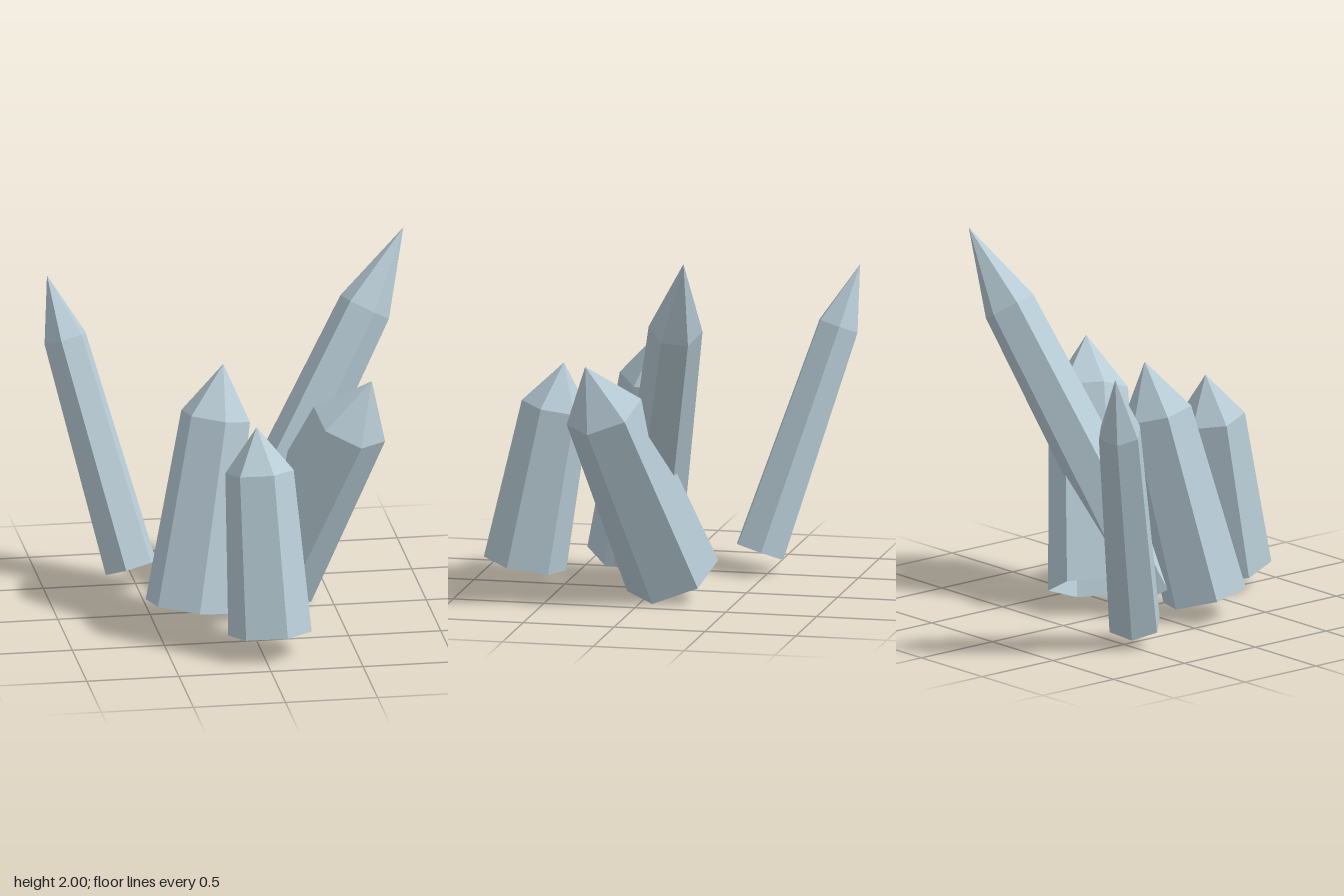
import * as THREE from 'three';

// Each crystal: centre of its base, its tip, base radius, and the direction from the base centre to one corner
const CRYSTALS = [
  { name: 'frontCrystal', base: [0.04, 0.115, 0.71], tip: [0, 1.22, 0.505], radius: 0.225, corner: [0.22, 0.02, 0.05] },
  { name: 'backRightCrystal', base: [-0.533, 0.115, -0.452], tip: [-0.915, 1.635, -0.915], radius: 0.148, corner: [0.143, 0.024, -0.038] },
  { name: 'tallCrystal', base: [-0.115, 0.1, 0.075], tip: [0.934, 2, -0.367], radius: 0.177, corner: [0.035, 0.02, 0.135] },
  { name: 'leftCrystal', base: [0.16, 0.115, -0.13], tip: [0.667, 1.35, 0.235], radius: 0.26, corner: [0.226, -0.11, 0.06] },
  { name: 'rightCrystal', base: [-0.33, 0.115, 0.216], tip: [-0.1, 1.405, -0.01], radius: 0.233, corner: [-0.18, 0.057, 0.134] },
];

export function createModel() {
  const group = new THREE.Group();
  group.name = 'crystalCluster';

  const paleBlue = new THREE.MeshStandardMaterial({ color: 0xb8ccd6, flatShading: true, side: THREE.DoubleSide });
  paleBlue.name = 'pale blue crystal';

  // Unit crystal: six-sided tapering shaft, open at the base, with a pyramid point
  const unit = new THREE.LatheGeometry(
    [new THREE.Vector2(1, 0), new THREE.Vector2(0.82, 0.785), new THREE.Vector2(0, 1)], 6);

  for (const { name, base, tip, radius, corner } of CRYSTALS) {
    const origin = new THREE.Vector3(...base);
    const up = new THREE.Vector3(...tip).sub(origin);
    const length = up.length();
    up.normalize();

    // Axes of the crystal: up along the shaft, forward through one corner
    const side = new THREE.Vector3().crossVectors(up, new THREE.Vector3(...corner)).normalize();
    const forward = new THREE.Vector3().crossVectors(side, up);

    const crystal = new THREE.Mesh(unit, paleBlue);
    crystal.name = name;
    crystal.position.copy(origin);
    crystal.quaternion.setFromRotationMatrix(new THREE.Matrix4().makeBasis(side, up, forward));
    crystal.scale.set(radius, length, radius);
    group.add(crystal);
  }
  return group;
}
